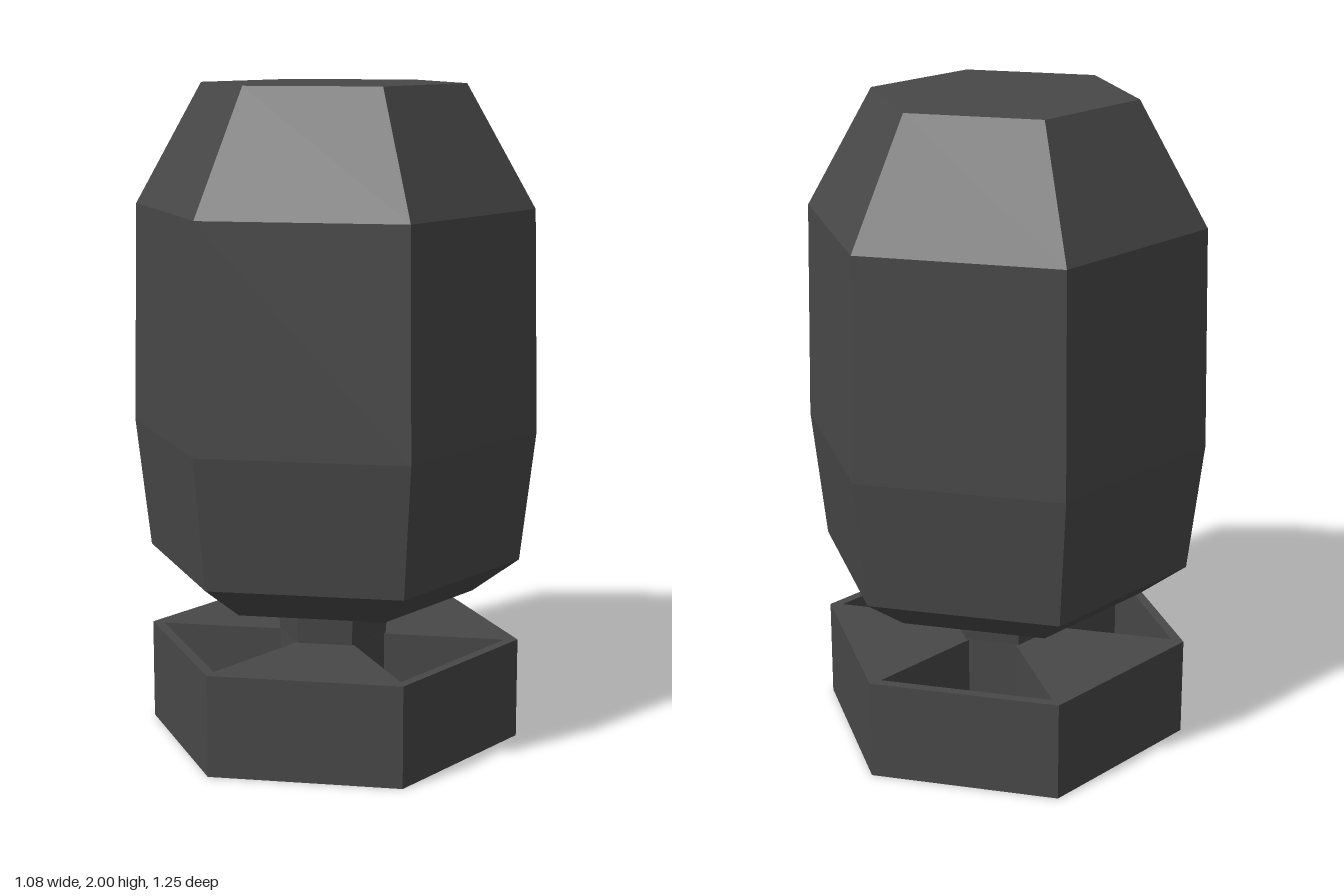
import * as THREE from 'three';

const material = new THREE.MeshStandardMaterial({ color: 0x484848, flatShading: true });

// Six-sided solid from a [radius, height] profile, bottom to top, corners on +z and -z
function hexLathe(name, profile) {
  const points = profile.map(([r, y]) => new THREE.Vector2(r, y));
  const mesh = new THREE.Mesh(new THREE.LatheGeometry(points, 6), material);
  mesh.name = name;
  return mesh;
}

// Adds corners given as [outward, sideways] turned to an angle
function trace(path, corners, angle) {
  const c = Math.cos(angle), s = Math.sin(angle);
  path.setFromPoints(corners.map(([u, v]) => new THREE.Vector2(u * c - v * s, u * s + v * c)));
  path.closePath();
  return path;
}

export function createModel() {
  const group = new THREE.Group();
  group.name = 'hexKnob';

  // Base: hexagonal wheel with three wedge openings between three spokes
  const hexagon = Array.from({ length: 6 }, (_, i) => {
    const a = Math.PI / 6 + i * Math.PI / 3;
    return [0.577 * Math.cos(a), 0.577 * Math.sin(a)];
  });
  const outline = trace(new THREE.Shape(), hexagon, 0);
  const wedge = [[0.145, -0.075], [0.145, 0.075], [0.47, 0.262], [0.47, -0.262]];
  for (let i = 0; i < 3; i++) {
    outline.holes.push(trace(new THREE.Path(), wedge, Math.PI / 3 + i * Math.PI * 2 / 3));
  }
  const baseGeometry = new THREE.ExtrudeGeometry(outline, { depth: 0.31, bevelEnabled: false });
  baseGeometry.rotateX(-Math.PI / 2);
  const base = new THREE.Mesh(baseGeometry, material);
  base.name = 'spokedBase';
  group.add(base);

  // Short stem, widening slightly towards the body
  group.add(hexLathe('stem', [[0.167, 0.31], [0.175, 0.43]]));

  // Barrel-shaped body with a flat top
  group.add(hexLathe('body', [
    [0.175, 0.43], [0.435, 0.46], [0.577, 0.565], [0.623, 0.965],
    [0.607, 1.635], [0.4, 2], [0, 2],
  ]));

  return group;
}
